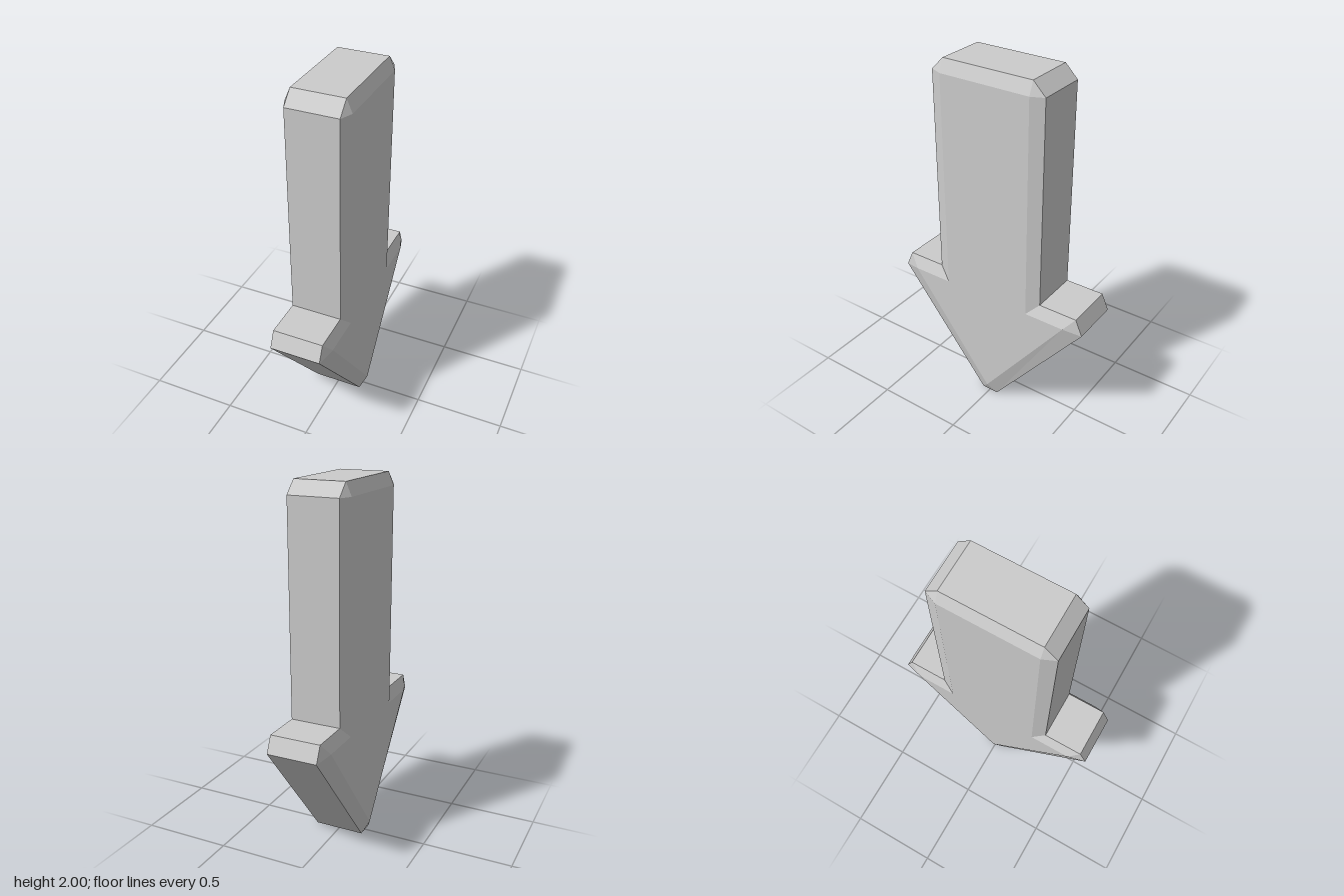
import * as THREE from 'three';

// Half of the arrow outline, top to tip: [rim z, rim y, bevelled face z, face y]
const HALF = [
  [0.26, 2.0, 0.26, 1.93],
  [0.33, 1.93, 0.26, 1.93],
  [0.33, 0.77, 0.26, 0.70],
  [0.55, 0.77, 0.49, 0.70],
  [0.59, 0.68, 0.49, 0.70],
  [0.05, 0.0, 0.0, 0.06],
];

function arrowGeometry(rimX, faceX) {
  // Mirror the half into a closed loop, counter-clockwise seen from +x
  const mirrored = HALF.map(([a, b, c, d]) => [-a, b, -c, d]).reverse();
  const loop = [...HALF, ...mirrored];
  const rim = (x) => loop.map(([z, y]) => new THREE.Vector3(x, y, z));
  const face = (x) => loop.map(([, , z, y]) => new THREE.Vector3(x, y, z));
  const rings = [face(-faceX), rim(-rimX), rim(rimX), face(faceX)];

  const positions = [];
  const triangle = (a, b, c) => {
    // Skip triangles that collapse where two rim points share a face corner
    if (a.distanceTo(b) < 1e-6 || b.distanceTo(c) < 1e-6 || c.distanceTo(a) < 1e-6) return;
    for (const p of [a, b, c]) positions.push(p.x, p.y, p.z);
  };

  // Bevels and rim
  for (let r = 0; r < rings.length - 1; r++) {
    const a = rings[r], b = rings[r + 1];
    for (let i = 0; i < loop.length; i++) {
      const j = (i + 1) % loop.length;
      triangle(a[i], a[j], b[j]);
      triangle(a[i], b[j], b[i]);
    }
  }

  // Flat faces on both sides
  const corners = rings[3].filter((p, i, all) => p.distanceTo(all[(i + 1) % all.length]) > 1e-6);
  const contour = corners.map((p) => new THREE.Vector2(-p.z, p.y));
  const opposite = corners.map((p) => new THREE.Vector3(-p.x, p.y, p.z));
  for (const [a, b, c] of THREE.ShapeUtils.triangulateShape(contour, [])) {
    triangle(corners[a], corners[b], corners[c]);
    triangle(opposite[c], opposite[b], opposite[a]);
  }

  const geometry = new THREE.BufferGeometry();
  geometry.setAttribute('position', new THREE.Float32BufferAttribute(positions, 3));
  geometry.computeVertexNormals();
  return geometry;
}

export function createModel() {
  const group = new THREE.Group();
  group.name = 'downArrow';
  const material = new THREE.MeshStandardMaterial({ color: 0xcccccc, flatShading: true });
  const arrow = new THREE.Mesh(arrowGeometry(0.14, 0.17), material);
  arrow.name = 'bevelledArrow';
  group.add(arrow);
  return group;
}
